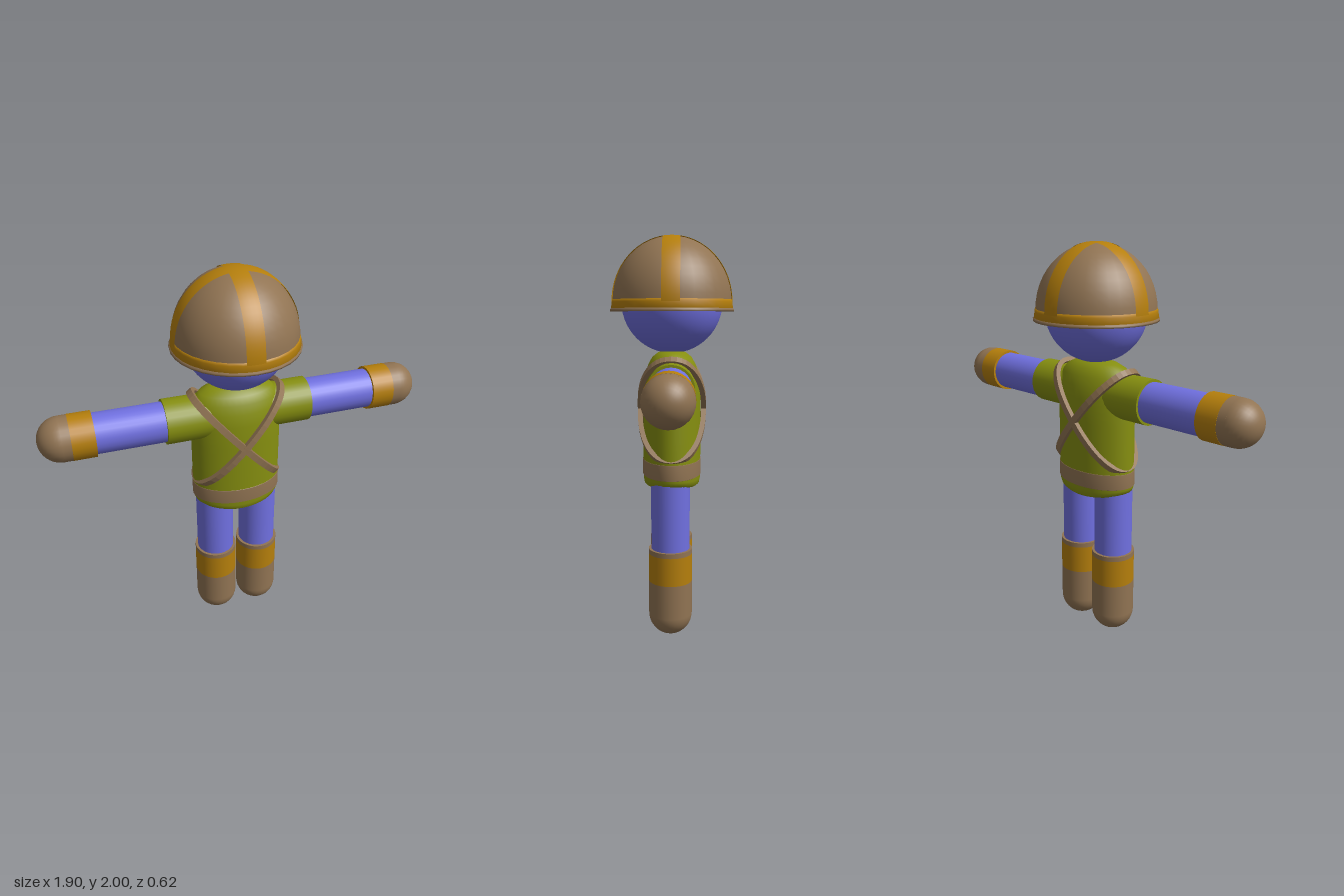
import * as THREE from 'three';
import { mergeVertices } from 'three/addons/utils/BufferGeometryUtils.js';
import { ParametricGeometry } from 'three/addons/geometries/ParametricGeometry.js';

const material = (color) => new THREE.MeshStandardMaterial({ color });

export function createModel() {
  const model = new THREE.Group();
  const skin = material(0x7070e0);
  const green = material(0x868f10);
  const brown = material(0x917453);
  const orange = material(0xb57f0c);

  const add = (parent, name, geometry, mat, x = 0, y = 0, z = 0) => {
    const mesh = new THREE.Mesh(geometry, mat);
    mesh.name = name;
    mesh.position.set(x, y, z);
    parent.add(mesh);
    return mesh;
  };

  // Upright cylinder between two heights
  const tube = (parent, name, mat, r, y0, y1) =>
    add(parent, name, new THREE.CylinderGeometry(r, r, y1 - y0, 28), mat, 0, (y0 + y1) / 2);
  // Half sphere closing the lower end of a limb
  const tip = (parent, name, mat, r, y) =>
    add(parent, name, new THREE.SphereGeometry(r, 28, 10, 0, Math.PI * 2, Math.PI / 2, Math.PI / 2), mat, 0, y);

  // Oval body: lathe flattened front to back, hem raised at the sides
  const ovalBody = (points, depth, lift) => {
    const g = new THREE.LatheGeometry(points.map(([x, y]) => new THREE.Vector2(x, y)), 40);
    const p = g.attributes.position;
    for (let i = 0; i < p.count; i++) {
      const x = p.getX(i), y = p.getY(i);
      p.setZ(i, p.getZ(i) * depth(y));
      p.setY(i, y + lift * Math.max(0, (0.85 - y) / 0.085) * (x / 0.225) ** 2);
    }
    g.deleteAttribute('uv');
    g.deleteAttribute('normal');
    const merged = mergeVertices(g, 1e-4);
    merged.computeVertexNormals();
    return merged;
  };

  // Shirt, belt and hips
  const depth = (y) => 0.645 - 0.1 * THREE.MathUtils.smoothstep(y, 1.25, 1.42);
  add(model, 'shirt', ovalBody([
    [0, 0.775], [0.12, 0.772], [0.2, 0.765], [0.216, 0.775], [0.224, 0.8], [0.225, 0.85],
    [0.225, 1.0], [0.225, 1.15], [0.225, 1.27], [0.222, 1.33], [0.21, 1.375],
    [0.18, 1.41], [0.13, 1.432], [0.07, 1.442], [0, 1.445],
  ], depth, 0.022), green);
  add(model, 'belt', ovalBody([[0.224, 0.82], [0.228, 0.822], [0.228, 0.898], [0.224, 0.9]],
    () => 0.648, 0), brown);
  const hips = add(model, 'hips', new THREE.SphereGeometry(1, 28, 14), skin, 0, 0.8, 0);
  hips.scale.set(0.18, 0.065, 0.1);

  // Arms and legs, mirrored
  for (const side of [1, -1]) {
    const label = side > 0 ? 'left' : 'right';

    const arm = new THREE.Group();
    arm.name = label + 'Arm';
    arm.position.set(0, 1.285, -0.003 * side);
    arm.rotation.z = side * Math.PI / 2;
    tube(arm, 'sleeve', green, 0.11, -0.36, -0.12);
    tube(arm, 'forearm', skin, 0.098, -0.7, -0.34);
    tube(arm, 'cuff', orange, 0.11, -0.8, -0.69);
    tube(arm, 'mitten', brown, 0.109, -0.842, -0.8);
    tip(arm, 'mittenTip', brown, 0.109, -0.841);
    model.add(arm);

    const leg = new THREE.Group();
    leg.name = label + 'Leg';
    leg.position.set(side * 0.117, 0, 0.005);
    tube(leg, 'trouser', skin, 0.097, 0.44, 0.82);
    tube(leg, 'bootRim', brown, 0.11, 0.43, 0.455);
    tube(leg, 'bootBand', orange, 0.11, 0.285, 0.43);
    tube(leg, 'boot', brown, 0.11, 0.11, 0.285);
    tip(leg, 'bootTip', brown, 0.11, 0.11);
    model.add(leg);

    // Shoulder strap: a tilted oval band around the body
    const oval = (rx, ry) => Array.from({ length: 48 }, (_, i) => {
      const a = i / 48 * Math.PI * 2, c = Math.cos(a), s = Math.sin(a);
      return new THREE.Vector2(
        Math.sign(c) * Math.abs(c) ** 0.9 * rx, Math.sign(s) * Math.abs(s) ** 0.9 * ry);
    });
    const shape = new THREE.Shape(oval(0.172, 0.338));
    shape.holes.push(new THREE.Path(oval(0.148, 0.314)));
    const band = new THREE.ExtrudeGeometry(shape, { depth: 0.032, bevelEnabled: false });
    band.translate(0, 0, -0.016);
    band.rotateY(Math.PI / 2);
    band.rotateZ(-side * 0.715);
    add(model, label + 'ShoulderStrap', band, brown, side * 0.005, 1.158, 0);
  }

  // Head
  add(model, 'head', new THREE.SphereGeometry(0.25, 40, 28), skin, 0, 1.68, 0);

  // Helmet shell with an open, hollow underside
  const helmet = new THREE.Group();
  helmet.name = 'helmet';
  helmet.position.y = 1.68;
  const arc = (r, h) => Array.from({ length: 13 }, (_, i) => {
    const a = i / 12 * Math.PI / 2;
    return new THREE.Vector2(Math.cos(a) * r, Math.sin(a) * h);
  });
  add(helmet, 'shell', new THREE.LatheGeometry([
    ...arc(0.278, 0.3).reverse(), new THREE.Vector2(0.28, -0.04),
    new THREE.Vector2(0.295, -0.04), ...arc(0.294, 0.316),
  ], 32), brown);
  add(helmet, 'brim', new THREE.LatheGeometry([
    [0.28, -0.036], [0.28, -0.046], [0.306, -0.046], [0.308, -0.036], [0.298, -0.026], [0.28, -0.026],
  ].map(([x, y]) => new THREE.Vector2(x, y)), 32), brown);
  add(helmet, 'rimBand', new THREE.LatheGeometry([
    [0.292, -0.03], [0.302, -0.03], [0.298, 0], [0.296, 0.012], [0.286, 0.012],
  ].map(([x, y]) => new THREE.Vector2(x, y)), 32), orange);

  // Two crossing bands that follow the dome
  const domeBand = (u, v, target) => {
    const w = (u - 0.5) * 0.29, a = (0.5 - v) * Math.PI, k = Math.sqrt(1 - w * w);
    target.set(w * 0.298, Math.cos(a) * k * 0.32, -Math.sin(a) * k * 0.298);
  };
  for (const turn of [0, Math.PI / 2]) {
    const strip = add(helmet, 'crossBand', new ParametricGeometry(domeBand, 4, 32), orange);
    strip.rotation.y = turn;
    strip.material = orange.clone();
    strip.material.side = THREE.DoubleSide;
  }
  model.add(helmet);

  return model;
}
